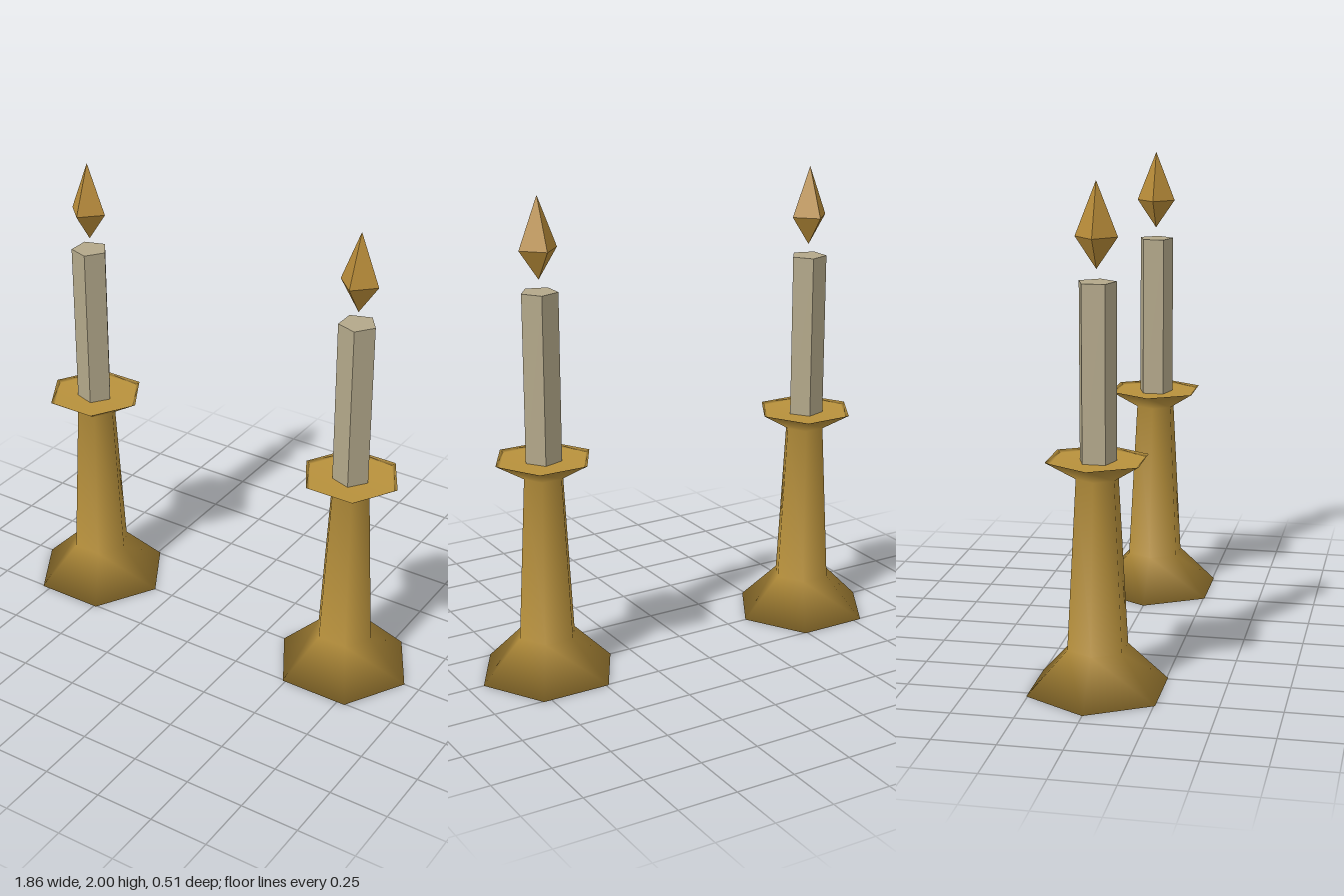
import * as THREE from 'three';

export function createModel() {
  const brass = new THREE.MeshStandardMaterial({ name: 'brass', color: 0xb8913c });
  const wax = new THREE.MeshStandardMaterial({ name: 'wax', color: 0xb3a88a });
  const fire = new THREE.MeshStandardMaterial({ name: 'flame gold', color: 0xb68a38 });

  // Six-sided holder: flared foot, tapered stem and shallow drip tray, smooth shaded
  const profile = [
    [0, 0], [0.295, 0], [0.126, 0.17], [0.087, 0.86],
    [0.21, 0.935], [0.193, 0.925], [0, 0.925],
  ].map(([r, y]) => new THREE.Vector2(r, y));
  const holderGeo = new THREE.LatheGeometry(profile, 6, Math.PI / 2);

  // Five-sided candle with one corner towards +x, faceted
  const bottom = 0.9, top = 1.62;
  const candleGeo = new THREE.CylinderGeometry(0.077, 0.077, top - bottom, 5, 1, false, Math.PI / 2).toNonIndexed();
  candleGeo.translate(0, (top + bottom) / 2, 0);
  candleGeo.computeVertexNormals();

  // Flame: a stretched octahedron, taller above its waist than below
  const flameGeo = new THREE.OctahedronGeometry(1, 0);
  const p = flameGeo.attributes.position;
  for (let i = 0; i < p.count; i++) {
    const y = p.getY(i);
    p.setXYZ(i, p.getX(i) * 0.083, 1.79 + y * (y > 0 ? 0.21 : 0.122), p.getZ(i) * 0.083);
  }
  flameGeo.computeVertexNormals();

  const model = new THREE.Group();
  model.name = 'candlesticks';
  for (const [side, x] of [['right', -0.637], ['left', 0.637]]) {
    const stick = new THREE.Group();
    stick.name = side + 'Candlestick';
    stick.position.x = x;
    for (const [name, geo, mat] of [
      ['holder', holderGeo, brass], ['candle', candleGeo, wax], ['flame', flameGeo, fire],
    ]) {
      const mesh = new THREE.Mesh(geo, mat);
      mesh.name = name;
      stick.add(mesh);
    }
    model.add(stick);
  }
  return model;
}
